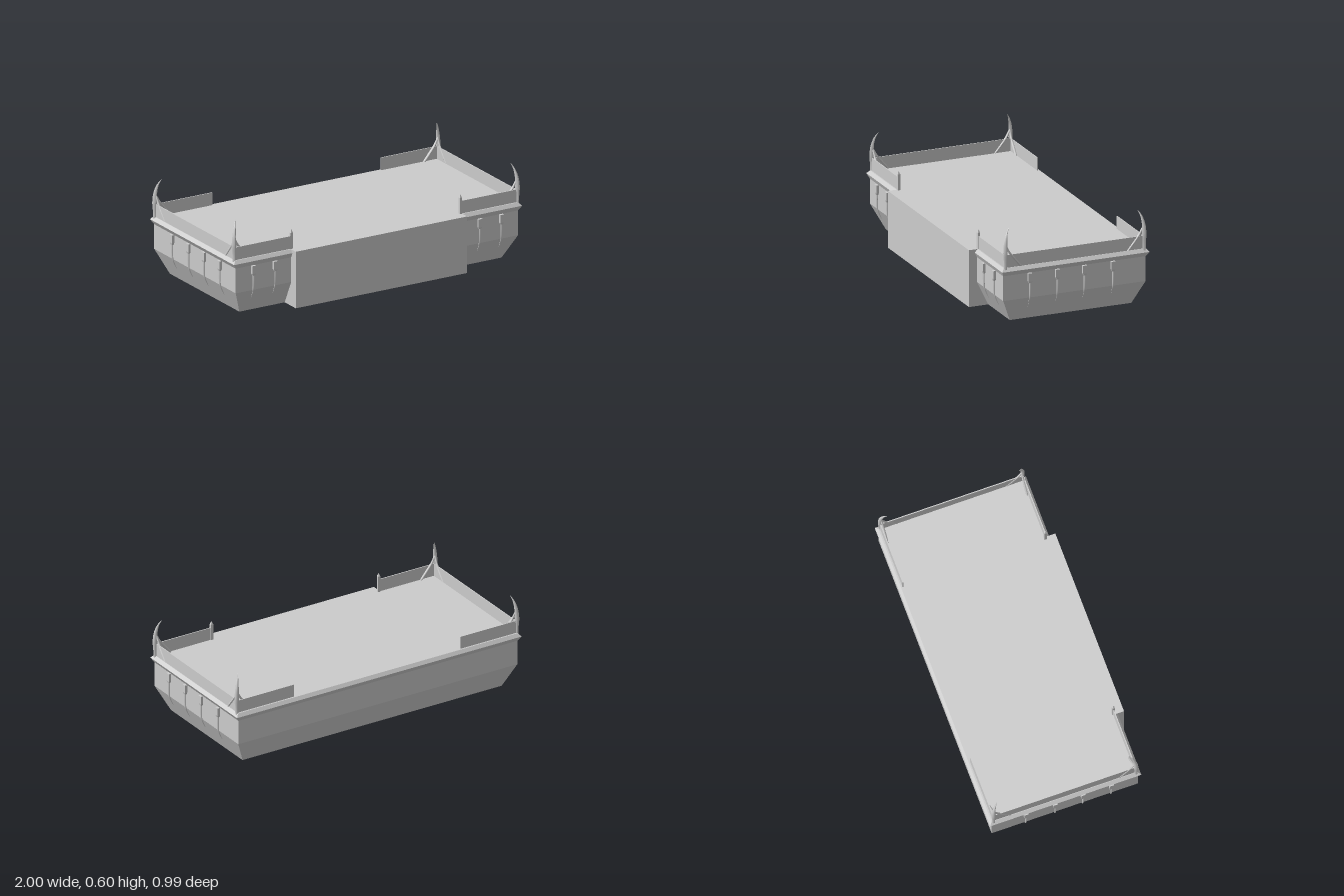
import * as THREE from 'three';

const grey = new THREE.MeshStandardMaterial({ color: 0xcccccc, side: THREE.DoubleSide });
grey.name = 'light grey';

// Stacked rectangles [y, halfWidth, zBack, zFront], closed with flat faces
function loftRects(rows) {
  const rings = rows.map(([y, x, b, f]) => [[x, y, f], [x, y, b], [-x, y, b], [-x, y, f]]);
  const pos = [];
  const quad = (a, b, c, d) => pos.push(...a, ...b, ...c, ...a, ...c, ...d);
  for (let r = 0; r < rings.length - 1; r++) {
    for (let i = 0; i < 4; i++) {
      const j = (i + 1) % 4;
      quad(rings[r][i], rings[r][j], rings[r + 1][j], rings[r + 1][i]);
    }
  }
  quad(...rings[0].slice().reverse());
  quad(...rings[rings.length - 1]);
  const g = new THREE.BufferGeometry();
  g.setAttribute('position', new THREE.Float32BufferAttribute(pos, 3));
  g.computeVertexNormals();
  return g;
}

// Tube along a curve whose radius follows a list of values
function taperedTube(points, radii, segments = 14, sides = 6) {
  const curve = new THREE.CatmullRomCurve3(points.map((p) => new THREE.Vector3(...p)));
  const g = new THREE.TubeGeometry(curve, segments, 1, sides);
  const pos = g.attributes.position;
  const v = new THREE.Vector3();
  for (let i = 0; i <= segments; i++) {
    const c = curve.getPointAt(i / segments);
    const k = (i / segments) * (radii.length - 1);
    const n = Math.min(Math.floor(k), radii.length - 2);
    const r = THREE.MathUtils.lerp(radii[n], radii[n + 1], k - n);
    for (let j = 0; j <= sides; j++) {
      const id = i * (sides + 1) + j;
      v.fromBufferAttribute(pos, id).sub(c).multiplyScalar(r).add(c);
      pos.setXYZ(id, v.x, v.y, v.z);
    }
  }
  g.computeVertexNormals();
  return g;
}

function add(parent, name, geometry, x = 0, y = 0, z = 0) {
  const m = new THREE.Mesh(geometry, grey);
  m.name = name;
  m.position.set(x, y, z);
  parent.add(m);
  return m;
}

// Wall ornament: housing, tapered underside and a tail that hugs the hull
function createBracket(x, z, turn) {
  const g = new THREE.Group();
  g.name = 'wallBracket';
  add(g, 'bracketHousing', new THREE.BoxGeometry(0.026, 0.05, 0.018), 0, 0.28, 0.007);
  const taper = new THREE.CylinderGeometry(0.0184, 0.011, 0.012, 4).rotateY(Math.PI / 4).toNonIndexed();
  taper.scale(1, 1, 0.69);
  taper.computeVertexNormals();
  add(g, 'bracketTaper', taper, 0, 0.249, 0.007);
  add(g, 'bracketTail', taperedTube(
    [[0, 0.25, 0.007], [0, 0.2, 0.007], [0, 0.15, 0.003], [0, 0.115, -0.011], [0, 0.085, -0.026]],
    [0.006, 0.006, 0.005, 0.0035, 0.0005]));
  g.position.set(x, 0, z);
  g.rotation.y = turn;
  return g;
}

// Corner horn leaning inward, with a sloping brace along each wall
function createCorner(sx, sz) {
  const g = new THREE.Group();
  g.name = 'cornerHorn';
  const cz = sz > 0 ? 0.43 : -0.467;
  const p = (inX, y, inZ) => [sx * (0.984 - inX), y, cz - sz * inZ];
  add(g, 'horn', taperedTube(
    [p(0.002, 0.335, 0), p(0, 0.4, 0), p(0, 0.46, 0), p(0.004, 0.51, 0.003), p(0.014, 0.56, 0.015), p(0.029, 0.596, 0.033)],
    [0.01, 0.01, 0.014, 0.012, 0.007, 0.0005], 18));
  const drop = [0.005, 0.007, 0.008, 0.007];
  add(g, 'braceAlongFrontOrBack', taperedTube(
    [p(0.006, 0.49, 0.006), p(0.03, 0.445, 0.008), p(0.065, 0.4, 0.008), p(0.105, 0.352, 0.008)], drop));
  add(g, 'braceAlongSide', taperedTube(
    [p(0.006, 0.49, 0.006), p(0.008, 0.445, 0.03), p(0.008, 0.4, 0.065), p(0.008, 0.352, 0.105)], drop));
  return g;
}

export function createModel() {
  const model = new THREE.Group();
  model.name = 'platform';

  // Hull with sloped base and flared rim
  add(model, 'hull', loftRects([
    [0, 0.91, -0.415, 0.37],
    [0.15, 0.98, -0.478, 0.443],
    [0.305, 0.98, -0.478, 0.443],
    [0.335, 1, -0.495, 0.457],
    [0.355, 0.982, -0.479, 0.44],
  ]));

  // Projecting front block
  add(model, 'frontBlock', new THREE.BoxGeometry(1.19, 0.355, 0.135), 0, 0.1775, 0.4275);

  for (const s of [-1, 1]) {
    // Low parapet walls
    add(model, 'sideWall', new THREE.BoxGeometry(0.006, 0.08, 0.895), s * 0.976, 0.394, -0.0185);
    add(model, 'frontWall', new THREE.BoxGeometry(0.39, 0.08, 0.006), s * 0.78, 0.394, 0.43);
    add(model, 'backWall', new THREE.BoxGeometry(0.39, 0.08, 0.006), s * 0.78, 0.394, -0.467);

    // Pointed post at the inner end of the front wall
    add(model, 'endPost', new THREE.BoxGeometry(0.016, 0.112, 0.016), s * 0.587, 0.399, 0.43);
    const tip = new THREE.ConeGeometry(0.0113, 0.022, 4).rotateY(Math.PI / 4).toNonIndexed();
    tip.computeVertexNormals();
    add(model, 'endPostTip', tip, s * 0.587, 0.466, 0.43);

    for (const sz of [-1, 1]) model.add(createCorner(s, sz));

    // Ornaments on the sides and front
    for (const z of [0.273, 0.095, -0.08, -0.264]) model.add(createBracket(s * 0.98, z, s * Math.PI / 2));
    for (const x of [0.71, 0.86]) model.add(createBracket(s * x, 0.443, 0));
  }
  return model;
}
